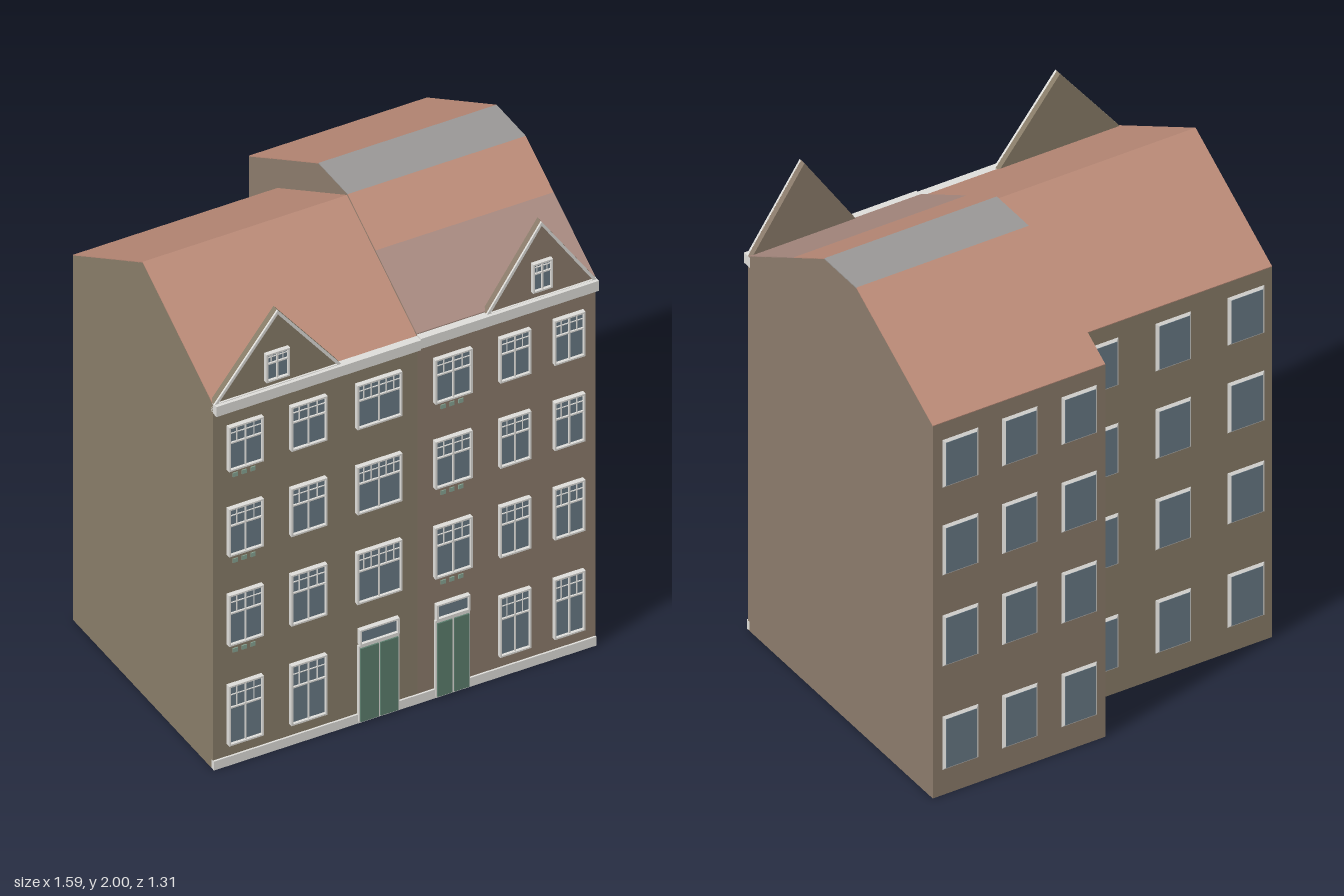
import * as THREE from 'three';

const mat = (color) => new THREE.MeshStandardMaterial({ color, flatShading: true });
const M = {
  wallL: mat(0x887c68), wallR: mat(0x8b7b6b), roof: mat(0xbb8b78), greyRoof: mat(0xa88a80),
  flat: mat(0x999795), white: mat(0xdddcd8), glass: mat(0x687985), green: mat(0x5b7d6d), tile: mat(0x86a392),
};
const FRONT = 0.625;

function add(parent, name, geometry, material) {
  const mesh = new THREE.Mesh(geometry, material);
  mesh.name = name;
  parent.add(mesh);
  return mesh;
}

// Box given by its limits
function box(parent, name, material, x0, x1, y0, y1, z0, z1) {
  const g = new THREE.BoxGeometry(x1 - x0, y1 - y0, z1 - z0);
  g.translate((x0 + x1) / 2, (y0 + y1) / 2, (z0 + z1) / 2);
  return add(parent, name, g, material);
}

const polygon = (pts) => new THREE.Shape(pts.map((p) => new THREE.Vector2(p[0], p[1])));

// Extrude a (z, y) outline along x from x0 to x1
function acrossX(pts, x0, x1) {
  const g = new THREE.ExtrudeGeometry(polygon(pts), { depth: x1 - x0, bevelEnabled: false });
  g.rotateY(-Math.PI / 2);
  g.translate(x1, 0, 0);
  return g;
}

// Extrude an (x, y) outline with an optional hole from z0 to z1
function alongZ(pts, hole, z0, z1) {
  const s = polygon(pts);
  if (hole) s.holes.push(polygon(hole));
  const g = new THREE.ExtrudeGeometry(s, { depth: z1 - z0, bevelEnabled: false });
  g.translate(0, 0, z0);
  return g;
}

const rect = (x0, x1, y0, y1) => [[x0, y0], [x1, y0], [x1, y1], [x0, y1]];

// Framed front window; panes = number of upper divisions (0 for a plain pane)
function frontWindow(parent, x0, x1, y0, y1, panes, z = FRONT) {
  const w = new THREE.Group();
  w.name = 'frontWindow';
  parent.add(w);
  const t = 0.007, b = 0.003;
  box(w, 'glass', M.glass, x0 + t, x1 - t, y0 + t, y1 - t, z - 0.005, z + 0.008);
  add(w, 'frame', alongZ(rect(x0, x1, y0, y1), rect(x0 + t, x1 - t, y0 + t, y1 - t), z - 0.005, z + 0.02), M.white);
  if (!panes) return;
  const h = y1 - y0, cx = (x0 + x1) / 2, bar = y0 + 0.62 * h, top = y0 + 0.83 * h;
  box(w, 'mullion', M.white, cx - b, cx + b, y0 + t, y1 - t, z, z + 0.015);
  box(w, 'transom', M.white, x0 + t, x1 - t, bar - b, bar + b, z, z + 0.015);
  box(w, 'glazingBar', M.white, x0 + t, x1 - t, top - 0.0015, top + 0.0015, z, z + 0.012);
  for (let i = 1; i < panes; i++) {
    if (i * 2 === panes) continue;
    const x = x0 + (x1 - x0) * i / panes;
    box(w, 'glazingBar', M.white, x - 0.0015, x + 0.0015, bar, y1 - t, z, z + 0.012);
  }
}

// Back window: pale bevelled surround with a glass face
function backWindow(parent, x0, x1, y0, y1, z) {
  const w = new THREE.Group();
  w.name = 'backWindow';
  parent.add(w);
  const width = x1 - x0, height = y1 - y0, d = 0.009, inset = 0.012;
  const g = new THREE.BoxGeometry(width, height, d);
  const p = g.attributes.position;
  for (let i = 0; i < p.count; i++) {
    if (p.getZ(i) < 0) p.setXY(i, Math.sign(p.getX(i)) * (width / 2 - inset), Math.sign(p.getY(i)) * (height / 2 - inset));
  }
  g.computeVertexNormals();
  g.translate((x0 + x1) / 2, (y0 + y1) / 2, z - d / 2 + 0.001);
  add(w, 'surround', g, M.white);
  box(w, 'glass', M.glass, x0 + inset, x1 - inset, y0 + inset, y1 - inset, z - d - 0.001, z - d + 0.002);
}

// Double door with a light above
function door(parent, x0, x1) {
  const d = new THREE.Group();
  d.name = 'door';
  parent.add(d);
  const cx = (x0 + x1) / 2;
  box(d, 'doorFrame', M.white, x0 - 0.006, x1 + 0.006, 0.01, 0.35, FRONT - 0.005, FRONT + 0.012);
  for (const [a, b] of [[x0, cx - 0.004], [cx + 0.004, x1]]) {
    box(d, 'doorLeaf', M.green, a, b, 0.01, 0.34, FRONT, FRONT + 0.018);
  }
  frontWindow(d, x0 - 0.004, x1 + 0.004, 0.355, 0.425, 0);
}

// Triangular front gable with pale edging and a small window
function gable(parent, x0, x1, y0, apex, wall, win) {
  const g = new THREE.Group();
  g.name = 'gable';
  parent.add(g);
  const cx = (x0 + x1) / 2;
  const tri = [[x0, y0], [x1, y0], [cx, apex]];
  add(g, 'gableWall', alongZ(tri, null, 0.605, 0.63), wall);
  const inner = [[x0 + 0.016, y0 + 0.002], [x1 - 0.016, y0 + 0.002], [cx, apex - 0.018]];
  add(g, 'gableEdging', alongZ(tri, inner, 0.628, 0.638), M.white);
  frontWindow(g, ...win, 4, 0.628);
}

// Roof slab between two (z, y) points
function roofSlab(parent, name, material, a, b, x0, x1) {
  const t = 0.004;
  return add(parent, name, acrossX([a, b, [b[0], b[1] - t], [a[0], a[1] - t]], x0, x1), material);
}

function house(parent, o) {
  const h = new THREE.Group();
  h.name = o.name;
  parent.add(h);
  const { x0, x1, roof } = o;
  const back = roof[roof.length - 1];

  // Walls and roof
  const outline = [[back[0], 0], [FRONT, 0], [FRONT, 1.65], ...roof.map((p) => [p[0], p[1] - 0.003])];
  add(h, 'walls', acrossX(outline, x0, x1), o.wall);
  for (let i = 0; i + 1 < roof.length; i++) roofSlab(h, 'roof', o.roofMats[i], roof[i], roof[i + 1], x0, x1);

  // Cornice and plinth
  box(h, 'cornice', M.white, x0, x1, o.cornice, o.cornice + 0.045, 0.612, 0.652);
  const [d0, d1] = o.door;
  box(h, 'plinth', M.white, x0, d0 - 0.006, 0, 0.04, FRONT - 0.01, FRONT + 0.008);
  box(h, 'plinth', M.white, d1 + 0.006, x1, 0, 0.04, FRONT - 0.01, FRONT + 0.008);
  box(h, 'doorStep', M.white, d0 - 0.006, d1 + 0.006, 0, 0.01, FRONT - 0.01, FRONT + 0.008);
  door(h, d0, d1);

  // Front windows, leaving out the door bay on the ground floor
  const floors = [[0.095, 0.365], [0.545, 0.775], [0.95, 1.165], [1.335, 1.535]];
  floors.forEach(([y0, y1], f) => {
    o.columns.forEach(([a, b], c) => {
      if (f === 0 && c === o.doorBay) return;
      frontWindow(h, a, b, y0, y1, b - a > 0.17 ? 6 : 4);
    });
  });

  // Small decorative tiles under the windows
  for (const y of [0.51, 0.915, 1.303]) {
    for (let i = -1; i <= 1; i++) {
      const x = o.tileX + i * 0.037;
      box(h, 'tile', M.tile, x - 0.01, x + 0.01, y - 0.009, y + 0.009, FRONT - 0.002, FRONT + 0.004);
    }
  }

  // Back windows
  for (const [y0, y1] of [[0.11, 0.35], [0.57, 0.8], [0.975, 1.2], [1.365, 1.58]]) {
    for (const [a, b] of o.backColumns) backWindow(h, a, b, y0, y1, back[0]);
  }
  gable(h, ...o.gable, o.wall, o.gableWindow);
}

export function createModel() {
  const model = new THREE.Group();
  model.name = 'terracedHouses';
  house(model, {
    name: 'shallowHouse', x0: -0.797, x1: 0.055, wall: M.wallL,
    roof: [[0.62, 1.655], [0.095, 1.955], [-0.43, 1.65]],
    roofMats: [M.roof, M.roof],
    cornice: 1.61, door: [-0.19, -0.033], doorBay: 2, tileX: -0.668,
    columns: [[-0.74, -0.595], [-0.48, -0.33], [-0.205, -0.018]],
    backColumns: [[-0.765, -0.605], [-0.45, -0.295], [-0.137, 0.018]],
    gable: [-0.797, -0.27, 1.655, 1.99], gableWindow: [-0.586, -0.488, 1.685, 1.812],
  });
  house(model, {
    name: 'deepHouse', x0: 0.055, x1: 0.797, wall: M.wallR,
    roof: [[0.62, 1.665], [0.31, 1.842], [0.1, 1.962], [-0.12, 1.962], [-0.645, 1.658]],
    roofMats: [M.greyRoof, M.roof, M.flat, M.roof],
    cornice: 1.616, door: [0.13, 0.262], doorBay: 0, tileX: 0.198,
    columns: [[0.12, 0.275], [0.39, 0.52], [0.617, 0.745]],
    backColumns: [[0.09, 0.245], [0.345, 0.5], [0.6, 0.757]],
    gable: [0.337, 0.795, 1.66, 2.0], gableWindow: [0.525, 0.608, 1.695, 1.825],
  });
  return model;
}
